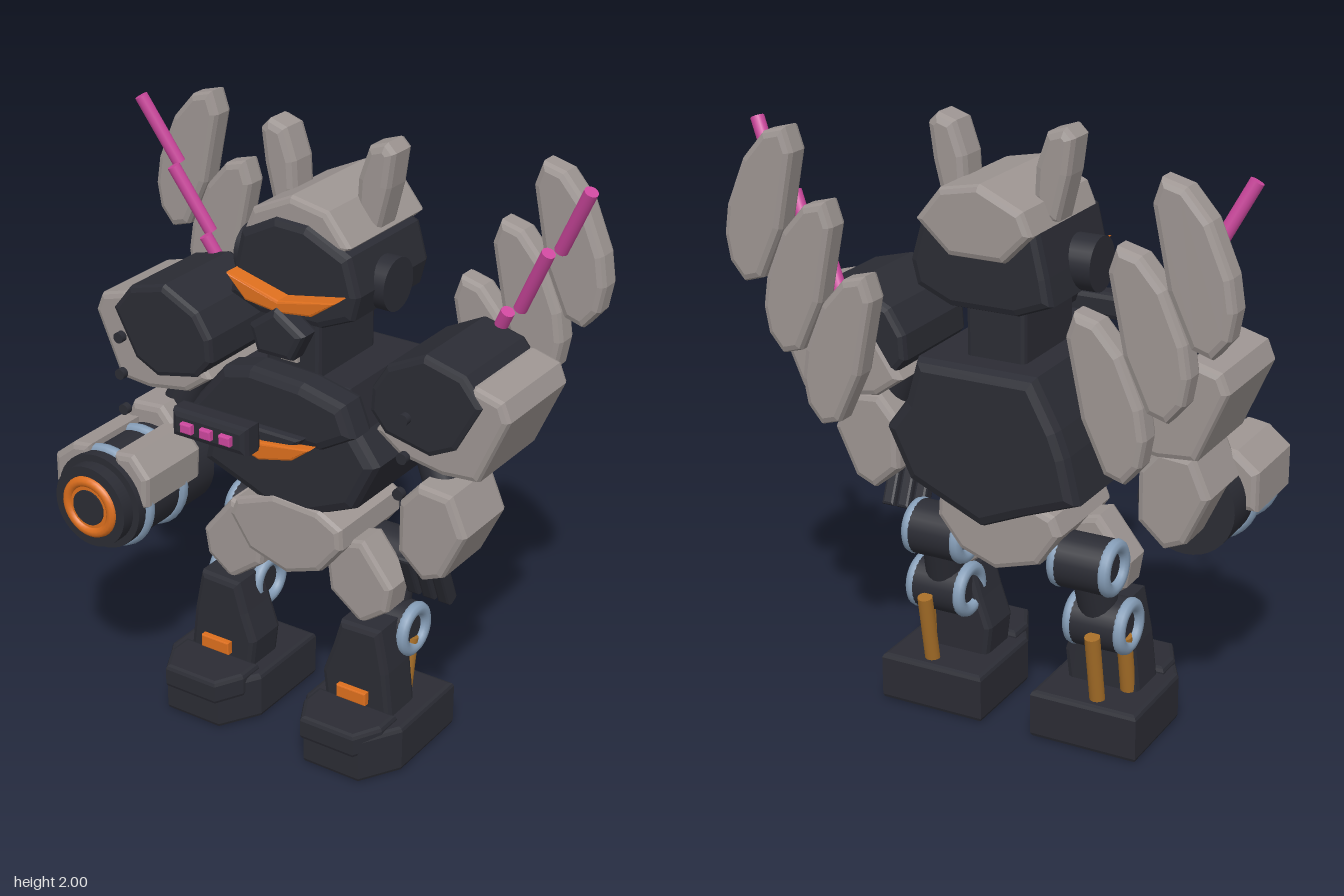
import * as THREE from 'three';

const mat = (name, color) => {
  const m = new THREE.MeshStandardMaterial({ color });
  m.name = name;
  return m;
};

export function createModel() {
  const root = new THREE.Group();
  root.name = 'robot';
  const dark = mat('charcoal', 0x2b2c34), grey = mat('warmGrey', 0x9d9592);
  const orange = mat('orange', 0xdd6f1e), pink = mat('pink', 0xcc479d);
  const blue = mat('steelBlue', 0x869eb8), gold = mat('bronze', 0xa66e28);

  const add = (name, geo, material) => {
    const m = new THREE.Mesh(geo, material);
    m.name = name;
    root.add(m);
    return m;
  };
  // Bevelled slab: outline in hundredths, from z0 to z1, mirrored when s = -1
  const slab = (name, pts, z0, z1, material, s = 1, bevel = 0.02) => {
    const shape = new THREE.Shape(pts.map(([x, y]) => new THREE.Vector2(s * x / 100, y / 100)));
    const geo = new THREE.ExtrudeGeometry(shape, {
      depth: z1 - z0 - 2 * bevel, bevelEnabled: true, bevelThickness: bevel,
      bevelSize: bevel, bevelOffset: -bevel, bevelSegments: 2,
    });
    geo.translate(0, 0, z0 + bevel);
    return add(name, geo, material);
  };
  const block = (name, x0, x1, y0, y1, z0, z1, material, bevel = 0.015) =>
    slab(name, [[x0, y0], [x1, y0], [x1, y1], [x0, y1]], z0, z1, material, 1, bevel);
  // Cylinder between two points
  const rod = (name, a, b, r, material, sides = 20) => {
    const p = new THREE.Vector3(...a), q = new THREE.Vector3(...b);
    const m = add(name, new THREE.CylinderGeometry(r, r, p.distanceTo(q), sides), material);
    m.position.copy(p).add(q).multiplyScalar(0.5);
    m.quaternion.setFromUnitVectors(new THREE.Vector3(0, 1, 0), q.sub(p).normalize());
    return m;
  };
  const ring = (name, x, y, z, r, tube, material, alongX) => {
    const m = add(name, new THREE.TorusGeometry(r, tube, 10, 32), material);
    m.position.set(x, y, z);
    if (alongX) m.rotation.y = Math.PI / 2;
  };

  // Head
  slab('head', [[-18, 171], [-5.5, 177.5], [6, 177], [21, 170], [24.5, 158], [22.5, 150], [11, 145],
    [-11, 145], [-22.5, 149.5], [-21, 158]], -0.38, 0.04, dark, 1, 0.025);
  slab('crest', [[-18, 171], [-15, 178], [-1, 184.5], [12, 182], [20, 172], [9, 162], [-9, 162]],
    -0.42, 0.02, grey);
  slab('visor', [[-19, 159], [0, 154], [21, 158], [12, 151.5], [0, 150], [-12, 151.5]], 0.03, 0.1, orange, 1, 0.008);
  slab('faceMask', [[-9.5, 145], [0, 152], [10.5, 145], [6, 136], [-6.5, 136]], 0.03, 0.12, dark);
  block('neck', -10, 10, 122, 148, -0.3, 0.02, dark);
  block('throat', -3, 3, 132, 137, 0, 0.04, grey, 0.005);

  // Torso
  slab('torso', [[-32.5, 90], [-14, 83], [0, 77], [25, 88], [33, 104.5], [26, 114], [22, 128],
    [-18, 128], [-26, 113], [-29, 105]], -0.41, 0.06, dark, 1, 0.035);
  slab('chest', [[-17, 130], [-6.5, 132.5], [12, 131.5], [27, 128], [31, 118], [19, 111], [-20, 112],
    [-30, 113.5], [-27, 118]], 0.03, 0.16, dark, 1, 0.03);
  slab('chestLip', [[-15, 115], [15, 115], [9, 108], [0, 106], [-9, 108]], 0.1, 0.185, dark);
  slab('chestVent', [[-20, 114.5], [0, 111], [19, 113.5], [12, 108], [0, 105], [-12, 108.5]],
    0.165, 0.205, orange, 1, 0.008);
  block('lampPanel', -13, 14, 120.5, 129.5, 0.38, 0.465, dark, 0.02);
  for (const x of [-6.5, 0.5, 7.5]) block('lamp', x - 2, x + 2, 123.5, 126.5, 0.46, 0.483, pink, 0.004);
  slab('pelvis', [[-21.5, 74], [-19, 80], [-4.5, 85.5], [12.5, 84.5], [21, 80], [21.5, 73], [13.5, 63],
    [1, 58.5], [-14, 63]], -0.3, 0.07, grey);

  for (const s of [1, -1]) {
    // Ears
    slab('ear', [[24, 197], [21, 200], [15, 198], [11.5, 188], [11, 179], [14, 171], [19, 172], [22.5, 186]],
      -0.275, -0.15, grey, s, 0.025);
    rod('earDisc', [s * 0.19, 1.575, -0.145], [s * 0.275, 1.575, -0.145], 0.085, dark, 28);

    // Back feathers and pink rods, stepping inward and down
    for (let i = 0; i < 3; i++) {
      const feather = [[58, 188], [60.5, 195.5], [68, 193.5], [75.5, 185], [82, 170], [83.5, 160.5],
        [82, 152], [77, 146], [70.5, 148], [63, 164]].map(([x, y]) => [x - 13 * i, y - 21 * i]);
      slab('backFeather', feather, -0.485, -0.388, grey, s, 0.022);
      const x = 0.815 - 0.125 * i, y = 1.93 - 0.215 * i;
      rod('energyRod', [s * x, y, -0.305], [s * (x - 0.11), y - 0.22, -0.355], 0.022, pink, 16);
    }

    // Shoulders and arms
    slab('shoulderCore', [[30, 131.5], [35, 139.5], [48, 146], [61.5, 142.5], [68.5, 134], [60, 118],
      [51, 113.5], [35, 117], [29.5, 123.5]], -0.335, 0.045, dark, s, 0.02);
    slab('shoulderArmor', [[76.5, 131], [74, 137], [65, 139.5], [45, 138], [31, 117], [40, 110.5],
      [55, 108], [67, 109]], -0.34, 0.035, grey, s, 0.02);
    rod('upperArm', [s * 0.43, 1.16, -0.08], [s * 0.51, 0.98, -0.06], 0.06, dark);
    slab('forearm', [[42, 97], [48.5, 104.5], [60, 103.5], [65.5, 91], [58, 75], [51, 72], [42, 80]],
      -0.195, 0.07, grey, s, 0.022);
    for (const [x, y] of [[0.52, 1.335], [0.52, 1.21], [0.51, 1.09]])
      rod('armStud', [s * x, y, 0.2], [s * x, y, 0.222], 0.018, dark, 16);

    // Legs
    slab('thighArmor', [[25.5, 75], [17, 73], [12, 65], [13.5, 54], [25.5, 45], [35, 52], [36.5, 61]],
      -0.12, 0.01, grey, s);
    for (const [name, y, z, x] of [['hipJoint', 0.625, -0.19, 0.26], ['kneeJoint', 0.405, -0.13, 0.285]]) {
      rod(name, [s * (x - 0.085), y, z], [s * (x + 0.085), y, z], 0.09, dark, 28);
      for (const e of [-0.085, 0.085]) ring(name + 'Ring', s * (x + e), y, z, 0.07, 0.023, blue, true);
    }
    rod('thigh', [s * 0.265, 0.625, -0.19], [s * 0.28, 0.405, -0.13], 0.065, dark);
    slab('shin', [[35, 47], [20, 46.5], [17, 36], [13.5, 26], [15, 14], [40, 14], [38, 32]],
      -0.11, 0.05, dark, s);
    block('shinLamp', s * 27 - 5.5, s * 27 + 5.5, 20.5, 25, 0.06, 0.085, orange, 0.004);
    rod('ankleStrut', [s * 0.36, 0.14, -0.095], [s * 0.36, 0.37, -0.135], 0.025, gold, 16);
    rod('ankleStrut', [s * 0.3, 0.14, -0.195], [s * 0.3, 0.4, -0.24], 0.025, gold, 16);

    // Feet, outlined from above and raised into place
    const sole = (name, pts, y0, y1) => {
      const m = slab(name, pts, y0, y1, dark, s, 0.015);
      m.rotation.x = -Math.PI / 2;
    };
    sole('foot', [[9, 25.5], [46, 25.5], [46, -7], [38, -20.5], [17, -20.5], [9, -7]], 0, 0.165);
    sole('toeCap', [[12, -4], [42, -4], [42, -13], [37, -22.5], [17, -22.5], [12, -13]], 0.1, 0.185);
  }

  // Left hand
  for (const x of [0.42, 0.476, 0.532]) {
    const f = block('finger', -2.3, 2.3, -8, 8, -0.025, 0.025, dark, 0.01);
    f.position.set(x, 0.68, -0.03);
    f.rotation.x = 0.4;
  }

  // Right arm cannon
  const gx = -0.52, gy = 0.815;
  rod('cannonBarrel', [gx, gy, -0.05], [gx, gy, 0.35], 0.162, dark, 36);
  rod('cannonMuzzle', [gx, gy, 0.33], [gx, gy, 0.395], 0.138, dark, 36);
  for (const z of [0.12, 0.295]) ring('cannonBand', gx, gy, z, 0.157, 0.021, blue);
  ring('muzzleRing', gx, gy, 0.393, 0.088, 0.018, orange);
  rod('muzzleGlow', [gx, gy, 0.35], [gx, gy, 0.4], 0.074, orange, 32);
  rod('muzzleCore', [gx, gy, 0.35], [gx, gy, 0.405], 0.06, dark, 32);
  slab('cannonInnerArmor', [[-47, 99], [-40, 100], [-34, 93], [-34.5, 83], [-38, 81], [-47, 89]], 0.04, 0.33, grey);
  slab('cannonOuterArmor', [[-71.5, 92], [-64, 98], [-57, 99], [-57, 89], [-65, 79], [-71.5, 79]], 0.04, 0.33, grey);

  return root;
}
